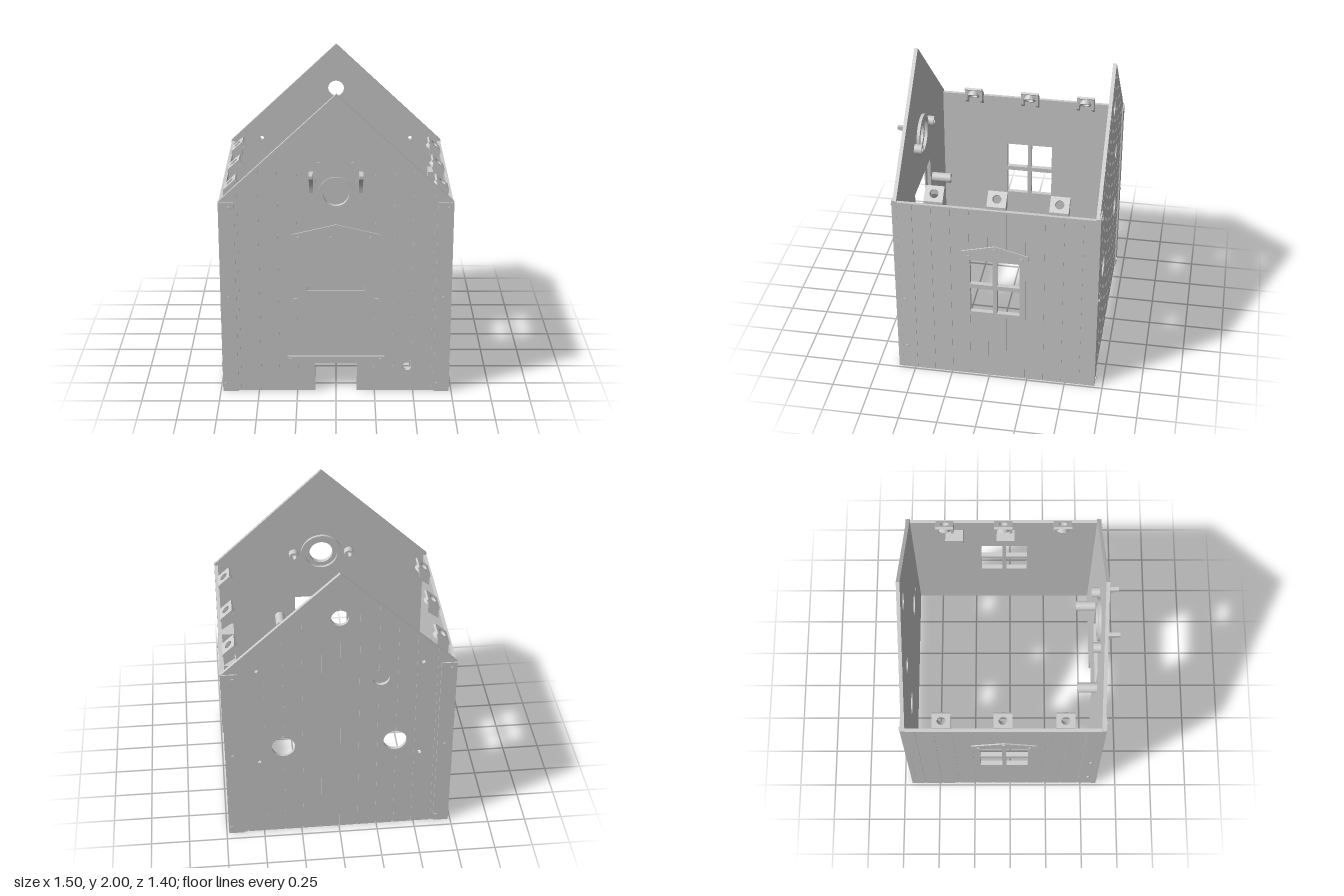
import * as THREE from 'three';

const T = 0.023;        // wall thickness
const GROOVE = 0.005;   // depth of the gaps between planks
const TRIM = 0.008;     // how far trim stands proud
const mat = new THREE.MeshStandardMaterial({ color: 0xcccccc });
mat.name = 'plain grey';

function add(parent, name, geo, x = 0, y = 0, z = 0) {
  const m = new THREE.Mesh(geo, mat);
  m.name = name;
  m.position.set(x, y, z);
  parent.add(m);
}

const poly = pts => new THREE.Shape(pts.map(p => new THREE.Vector2(p[0], p[1])));
const rect = (x0, y0, x1, y1) => poly([[x0, y0], [x1, y0], [x1, y1], [x0, y1]]);
const disc = (x, y, r) => new THREE.Shape().absarc(x, y, r, 0, Math.PI * 2);
const extrude = (shape, depth) =>
  new THREE.ExtrudeGeometry(shape, { depth, bevelEnabled: false, curveSegments: 20 });

// openings are round {x, y, r} or rectangular {x, y, w, h}, given by their centre
const cut = o => o.r ? disc(o.x, o.y, o.r)
  : rect(o.x - o.w / 2, o.y - o.h / 2, o.x + o.w / 2, o.y + o.h / 2);

// half height of an opening where a groove at x meets it
function reach(o, x) {
  const dx = Math.max(0, Math.abs(x - o.x) - 0.015);
  if (!o.r) return dx < o.w / 2 ? o.h / 2 + 0.01 : 0;
  return dx < o.r ? Math.sqrt(o.r * o.r - dx * dx) + 0.01 : 0;
}

// plank wall facing +z: solid backing plus an outer layer slotted between planks
function plankWall(name, outline, openings, grooves, bottom, top) {
  const g = new THREE.Group();
  g.name = name;
  const inner = poly(outline), outer = poly(outline);
  for (const o of openings) {
    inner.holes.push(cut(o));
    outer.holes.push(cut(o));
  }
  for (const x of grooves) {
    let y = bottom(x) + 0.004;
    const slot = end => {
      if (end - y > 0.01) outer.holes.push(rect(x - 0.005, y, x + 0.005, end));
    };
    const blocks = openings.map(o => [o.y - reach(o, x), o.y + reach(o, x)])
      .filter(b => b[1] > b[0]).sort((a, b) => a[0] - b[0]);
    for (const [lo, hi] of blocks) {
      slot(lo);
      y = Math.max(y, hi);
    }
    slot(top(x) - 0.012);
  }
  add(g, 'wallBacking', extrude(inner, T - GROOVE));
  add(g, 'wallPlanks', extrude(outer, GROOVE), 0, 0, T - GROOVE);
  return g;
}

function rivets(g, list, z = T + TRIM) {
  for (const [x, y] of list) {
    const geo = new THREE.CylinderGeometry(0.012, 0.012, 0.016, 16).rotateX(Math.PI / 2);
    add(g, 'rivet', geo, x, y, z);
  }
}

const trim = (g, name, shape) => add(g, name, extrude(shape, TRIM), 0, 0, T);

// hollow post along z, starting at z and running backwards
function tube(parent, name, x, y, z, r, hole, len) {
  const s = disc(x, y, r);
  s.holes.push(disc(x, y, hole));
  add(parent, name, extrude(s, len), 0, 0, z - len);
}

const roofY = x => 2 - Math.abs(x) * 0.69 / 0.735;
const gableGrooves = [-0.61, -0.48, -0.36, -0.24, -0.12, 0, 0.12, 0.24, 0.36, 0.48, 0.61];

function cornerBoards(g) {
  for (const s of [-1, 1]) {
    trim(g, 'cornerBoard', rect(s > 0 ? 0.635 : -0.735, 0, s > 0 ? 0.735 : -0.635, 1.31));
    rivets(g, [[s > 0 ? 0.705 : -0.665, 1.27], [s * 0.685, 0.66], [s > 0 ? 0.655 : -0.715, 0.05]]);
  }
}

function frontWall() {
  const door = 0.2;
  const outline = [[-0.735, 0], [-0.135, 0], [-0.135, door], [0.135, door], [0.135, 0],
    [0.735, 0], [0.735, 1.31], [0, 2], [-0.735, 1.31]];
  const g = plankWall('frontWall', outline, [{ x: 0, y: 0.853, w: 0.47, h: 0.37 },
    { x: 0, y: 1.365, r: 0.11 }, { x: 0.46, y: 0.175, r: 0.028 }],
  gableGrooves, x => Math.abs(x) < 0.15 ? door : 0, roofY);
  cornerBoards(g);

  // window frame with sill and pediment, set over a wider wall opening
  const frame = poly([[-0.275, 0.62], [0.275, 0.62], [0.275, 0.655], [0.245, 0.655], [0.245, 1.045],
    [0.275, 1.045], [0.275, 1.095], [0, 1.16], [-0.275, 1.095], [-0.275, 1.045], [-0.245, 1.045],
    [-0.245, 0.655], [-0.275, 0.655]]);
  frame.holes.push(cut({ x: 0, y: 0.853, w: 0.365, h: 0.275 }));
  trim(g, 'frontWindowFrame', frame);
  trim(g, 'doorLintel', rect(-0.315, 0.2, 0.315, 0.25));
  rivets(g, [[-0.235, 1.07], [-0.03, 1.07], [0.22, 1.07], [-0.29, 0.225], [0.29, 0.225]]);
  rivets(g, [[-0.105, 1.56], [0.105, 1.56]], T);

  // stepped round collar, and mounting posts on the inside
  tube(g, 'roundCollar', 0, 1.365, 0, 0.14, 0.11, 0.02);
  tube(g, 'roundCollarLip', 0, 1.365, T + TRIM, 0.11, 0.08, T + TRIM);
  for (const s of [-1, 1]) {
    tube(g, 'shortPost', s * 0.19, 1.365, 0, 0.033, 0.016, 0.05);
    tube(g, 'longPost', s * 0.295, 0.855, 0, 0.033, 0.016, 0.13);

    // curved bracket, drawn in (z, y)
    const b = new THREE.Shape();
    b.moveTo(0, 1.51);
    b.lineTo(0, 1.37);
    b.quadraticCurveTo(0.012, 1.475, 0.092, 1.488);
    b.lineTo(0.092, 1.51);
    const geo = extrude(b, 0.025).rotateY(-Math.PI / 2);
    add(g, 'curvedBracket', geo, s * 0.155 + 0.0125, 0, T);
  }
  g.position.z = 0.58;
  return g;
}

function backWall() {
  const outline = [[-0.735, 0], [0.735, 0], [0.735, 1.31], [0, 2], [-0.735, 1.31]];
  const openings = [{ x: -0.36, y: 0.71, r: 0.075 }, { x: 0.36, y: 0.71, r: 0.075 },
    { x: 0.26, y: 1.215, r: 0.053 }, { x: 0, y: 1.685, r: 0.055 }];
  for (const x of [-0.52, 0.52]) for (const y of [0.6, 1.325]) openings.push({ x, y, r: 0.013 });
  const g = plankWall('backWall', outline, openings, gableGrooves, () => 0, roofY);
  cornerBoards(g);
  g.rotation.y = Math.PI;
  g.position.z = -0.667;
  return g;
}

// s = 1 for the +x wall, -1 for the -x wall
function sideWall(s) {
  const ends = [-0.58 * s, 0.667 * s].sort((a, b) => a - b);
  const c = 0.04 * s;
  const panes = [];
  for (const dx of [-0.0865, 0.0865])
    for (const y of [0.613, 0.83]) panes.push({ x: c + dx, y, w: 0.146, h: 0.186 });
  const grooves = [-4, -3, -2, -1, 0, 1, 2, 3, 4, 5].map(k => k * 0.12 * s);
  const g = plankWall(s > 0 ? 'leftWall' : 'rightWall',
    [[ends[0], 0], [ends[1], 0], [ends[1], 1.3], [ends[0], 1.3]],
    panes, grooves, () => 0, () => 1.3);

  // four-pane window frame with pediment
  const frame = poly([[-0.195, 0.49], [0.195, 0.49], [0.195, 0.95], [0.215, 0.95], [0.215, 0.985],
    [0, 1.04], [-0.215, 0.985], [-0.215, 0.95], [-0.195, 0.95]].map(([x, y]) => [x + c, y]));
  panes.forEach(p => frame.holes.push(cut(p)));
  trim(g, 'sideWindowFrame', frame);
  rivets(g, [[c - 0.165, 0.95], [c, 1.01], [c + 0.17, 0.955]], T + TRIM - 0.002);
  rivets(g, [[-0.55 * s, 0.555], [-0.55 * s, 0.175]], T);
  g.rotation.y = s * Math.PI / 2;
  g.position.x = s * 0.711;
  return g;
}

// wedge on the wall top with a bored face parallel to the roof slope
function roofMount(s, z) {
  const g = new THREE.Group();
  g.name = 'roofMount';
  const section = poly([[0.64, 1.29], [0.71, 1.24], [0.71, 1.3], [0.716, 1.3], [0.716, 1.32], [0.64, 1.39]]);
  for (const dz of [-0.06, 0.042]) add(g, 'mountCheek', extrude(section, 0.018), 0, 0, dz);
  add(g, 'mountFoot', new THREE.BoxGeometry(0.016, 0.02, 0.12), 0.708, 1.31, 0);
  add(g, 'mountInnerFace', new THREE.BoxGeometry(0.012, 0.04, 0.12), 0.646, 1.355, 0);
  const face = new THREE.Group();
  face.name = 'mountFace';
  const plate = rect(-0.06, -0.052, 0.06, 0.052);
  plate.holes.push(disc(0, 0, 0.028));
  add(face, 'boredPlate', extrude(plate, 0.015), 0, 0, -0.015);
  tube(face, 'mountSocket', 0, 0, -0.01, 0.04, 0.028, 0.036);
  face.position.set(0.678, 1.355, 0);
  face.lookAt(0.678 + 0.68, 1.355 + 0.735, 0);
  g.add(face);
  if (s < 0) g.rotation.y = Math.PI;
  g.position.z = z;
  return g;
}

export function createModel() {
  const house = new THREE.Group();
  house.name = 'plankHouse';
  house.add(frontWall(), backWall());
  for (const s of [-1, 1]) {
    house.add(sideWall(s));
    for (const z of [0.35, -0.045, -0.435]) house.add(roofMount(s, z));
  }
  // small blocks on the inside of the left wall
  for (const z of [-0.375, -0.03])
    add(house, 'wallBlock', new THREE.BoxGeometry(0.08, 0.08, 0.12), 0.671, 1.15, z);
  return house;
}
